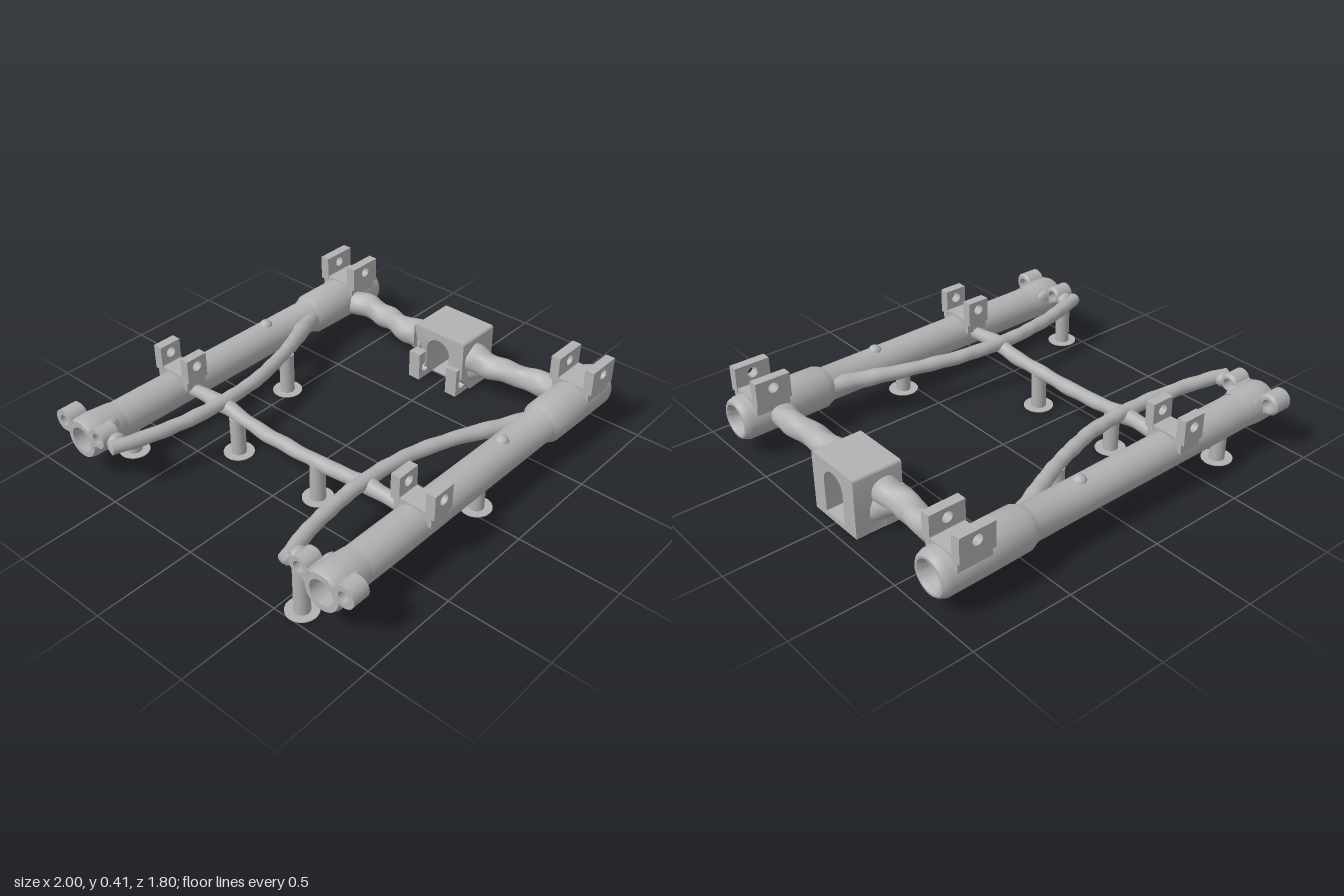
import * as THREE from 'three';
import { mergeVertices, toCreasedNormals } from 'three/addons/utils/BufferGeometryUtils.js';

const steel = new THREE.MeshStandardMaterial({ color: 0xb2b2b2 });
steel.name = 'light grey metal';

const RAIL_Z = 0.733;
const railY = (x) => 0.205 - 0.011 * x;
const lumps = (x, y, z) =>
  Math.sin(31 * x + 9 * z) * Math.sin(27 * z + 14 * y) + 0.6 * Math.sin(58 * x - 33 * z + 40 * y);

function add(group, name, geometry, x = 0, y = 0, z = 0) {
  const mesh = new THREE.Mesh(geometry, steel);
  mesh.name = name;
  mesh.position.set(x, y, z);
  group.add(mesh);
  return mesh;
}

// Closed profile of [radius, x] pairs turned about the x axis
function turned(profile, sides = 40) {
  const pts = [...profile, profile[0]].map(([r, x]) => new THREE.Vector2(r, x));
  return toCreasedNormals(new THREE.LatheGeometry(pts, sides).rotateZ(-Math.PI / 2), 0.6);
}

// Irregular capped tube; radius(t) sets the thickness along it
function organicTube(points, radius, rough, steps = 70, sides = 14) {
  const curve = new THREE.CatmullRomCurve3(points.map((p) => new THREE.Vector3(...p)));
  let g = new THREE.TubeGeometry(curve, steps, 1, sides, false);
  const pos = g.attributes.position, v = new THREE.Vector3();
  for (let i = 0; i <= steps; i++) {
    const t = i / steps, c = curve.getPointAt(t);
    const r = i === 0 || i === steps ? 0.0005 : radius(t);
    for (let j = 0; j <= sides; j++) {
      const k = i * (sides + 1) + j;
      v.fromBufferAttribute(pos, k).sub(c).multiplyScalar(r).add(c);
      const bump = 1 + rough * lumps(v.x, v.y, v.z);
      v.sub(c).multiplyScalar(bump).add(c);
      pos.setXYZ(k, v.x, v.y, v.z);
    }
  }
  g.deleteAttribute('uv');
  g.deleteAttribute('normal');
  g = mergeVertices(g, 1e-5);
  g.computeVertexNormals();
  return toCreasedNormals(g, 1.0);
}

// Flat plate with a round hole, centred on its thickness along z
function drilledPlate(w, y0, y1, holeX, holeY, holeR, thick) {
  const s = new THREE.Shape();
  s.moveTo(-w / 2, y0).lineTo(w / 2, y0).lineTo(w / 2, y1).lineTo(-w / 2, y1).closePath();
  s.holes.push(new THREE.Path().absarc(holeX, holeY, holeR, 0, Math.PI * 2, true));
  return new THREE.ExtrudeGeometry(s, { depth: thick, bevelEnabled: false, curveSegments: 20 })
    .translate(0, 0, -thick / 2);
}

// Pair of upright tabs on a saddle over a rail
function bracket(parent, name, x, w, s) {
  const g = new THREE.Group();
  g.name = name;
  g.position.set(x, 0, s * RAIL_Z);
  parent.add(g);
  for (const side of [-1, 1])
    add(g, 'bracketTab', drilledPlate(w, 0.285, 0.41, 0, 0.363, 0.026, 0.048), 0, 0, side * 0.092);
  add(g, 'saddle', new THREE.BoxGeometry(w * 0.97, 0.07, 0.2), 0, 0.272, 0);
  for (const side of [-1, 1]) {
    const lip = new THREE.CylinderGeometry(0.022, 0.022, w * 0.99, 14).rotateZ(Math.PI / 2);
    add(g, 'saddleLip', lip, 0, 0.302, side * 0.088);
  }
}

// Drilled lug beside the open end of a rail, with its web and blend
function lug(parent, name, y, z, s, r) {
  const g = new THREE.Group();
  g.name = name;
  parent.add(g);
  add(g, 'lugRing', turned([[r, -0.05], [r, 0.04], [r - 0.012, 0.05], [0.027, 0.05], [0.027, -0.05]], 28),
    -0.92, y, s * z);
  const dy = railY(-0.92) - y, dz = s * (RAIL_Z - z), d = Math.hypot(dy, dz);
  const at = (k) => [y + (dy * k) / d, s * z + (dz * k) / d];
  const web = add(g, 'lugWeb', new THREE.BoxGeometry(0.098, 0.028, 0.075), -0.92, ...at(0.046));
  web.geometry = new THREE.BoxGeometry(0.098, 0.075, 0.03);
  web.rotation.x = -Math.atan2(dy, dz);
  const blend = add(g, 'lugBlend', new THREE.SphereGeometry(1, 20, 14), -0.86, ...at(0.058));
  blend.scale.set(0.06, 0.045, 0.026);
}

function sideFrame(s) {
  const g = new THREE.Group();
  g.name = s > 0 ? 'frontSideFrame' : 'rearSideFrame';

  // Hollow rail with a thicker collar at one end
  const rail = add(g, 'rail', turned([
    [0.088, -0.97], [0.089, -0.6], [0.087, -0.2], [0.086, 0.2], [0.086, 0.5], [0.092, 0.515],
    [0.105, 0.545], [0.107, 0.75], [0.107, 0.965], [0.098, 0.99], [0.088, 1.0],
    [0.076, 1.0], [0.064, 0.98], [0.062, 0], [0.062, -0.97],
  ], 48), 0, 0.205, s * RAIL_Z);
  rail.rotation.z = -0.011;
  add(g, 'railKnob', new THREE.SphereGeometry(0.035, 18, 12), 0.21, 0.274, s * RAIL_Z);
  // Slight swelling towards the lugs
  const swell = turned([[0.088, -0.97], [0.098, -0.95], [0.099, -0.88], [0.088, -0.77], [0.07, -0.8], [0.07, -0.96]], 40);
  add(g, 'railSwell', swell, 0, railY(-0.9) + 0.004, s * RAIL_Z);

  lug(g, 'outerLug', 0.268, 0.848, s, 0.054);
  lug(g, 'innerLug', 0.278, 0.614, s, 0.048);

  bracket(g, 'smallBracket', -0.36, 0.118, s);
  bracket(g, 'largeBracket', 0.848, 0.18, s);

  // Bowed brace running beside the rail
  add(g, 'bowedBrace', organicTube([
    [-0.97, 0.262, s * 0.54], [-0.85, 0.258, s * 0.5], [-0.6, 0.25, s * 0.452], [-0.36, 0.247, s * 0.438],
    [-0.12, 0.243, s * 0.46], [0.1, 0.236, s * 0.52], [0.28, 0.225, s * 0.59], [0.42, 0.215, s * 0.655], [0.52, 0.21, s * 0.7],
  ], (t) => 0.034 + 0.014 * Math.max(0, t - 0.75) * 4, 0.05, 110), 0, 0, 0);
  add(g, 'braceJoint', new THREE.SphereGeometry(0.046, 18, 12), -0.96 + 0.05, 0.265, s * 0.555)
    .scale.set(1, 0.8, 0.7);

  // End beam half and its flare down to the housing
  add(g, 'endBeam', organicTube([
    [0.8, 0.195, s * 0.67], [0.812, 0.195, s * 0.56], [0.8, 0.19, s * 0.43], [0.785, 0.185, s * 0.3], [0.79, 0.18, s * 0.12],
  ], (t) => 0.064 - 0.012 * Math.sin(Math.PI * t) + 0.012 * t, 0.1, 50, 18), 0, 0, 0);
  add(g, 'beamFlare', organicTube([
    [0.795, 0.185, s * 0.29], [0.8, 0.15, s * 0.21], [0.815, 0.1, s * 0.12],
  ], (t) => 0.04 + 0.03 * t, 0.05, 24), 0, 0, 0);
  return g;
}

// Block with an arched passage along x and a sloped lower inner edge
function housingGeometry() {
  const w = 0.155, h = 0.3, c = 0.014, k = 0.09;
  const s = new THREE.Shape();
  s.moveTo(-w, 0).lineTo(w, 0).lineTo(w, k).lineTo(w, h - c)
    .absarc(w - c, h - c, c, 0, Math.PI / 2, false)
    .lineTo(-w + c, h).absarc(-w + c, h - c, c, Math.PI / 2, Math.PI, false)
    .lineTo(-w, k).closePath();
  const hole = new THREE.Path();
  hole.moveTo(-0.07, 0.028).lineTo(-0.07, k).lineTo(-0.07, 0.19)
    .absarc(0, 0.19, 0.07, Math.PI, 0, true).lineTo(0.07, k).lineTo(0.07, 0.028).closePath();
  s.holes.push(hole);
  const g = new THREE.ExtrudeGeometry(s, { depth: 0.25, bevelEnabled: false, curveSegments: 14 });
  g.rotateY(Math.PI / 2).translate(0.698, 0, 0);
  const p = g.attributes.position;
  for (let i = 0; i < p.count; i++)
    if (p.getX(i) < 0.75 && p.getY(i) < k) p.setX(i, p.getX(i) + 0.08 * (1 - p.getY(i) / k));
  g.computeVertexNormals();
  return toCreasedNormals(g, 0.5);
}

export function createModel() {
  const model = new THREE.Group();
  model.name = 'tubularFrame';
  model.add(sideFrame(1), sideFrame(-1));

  // Slim cross bar between the rails
  add(model, 'crossBar', organicTube([
    [-0.365, 0.215, -0.68], [-0.365, 0.225, -0.45], [-0.37, 0.2, -0.2], [-0.368, 0.198, 0.1],
    [-0.362, 0.21, 0.35], [-0.365, 0.225, 0.45], [-0.365, 0.215, 0.68],
  ], (t) => 0.034 + 0.008 * Math.exp(-(((Math.abs(t - 0.5) - 0.33) / 0.04) ** 2)), 0.07, 100));

  // Central housing with drilled ears underneath
  add(model, 'housing', housingGeometry());
  for (const z of [-0.125, 0.11])
    add(model, 'housingEar', drilledPlate(0.13, 0, 0.15, -0.015, 0.06, 0.027, 0.066), 0.735, 0, z);

  // Round support posts on thin foot discs
  const posts = [[-0.93, 0.59, 0.25], [-0.69, -RAIL_Z, 0.14], [-0.37, -0.35, 0.2],
    [-0.37, 0.16, 0.2], [0.05, RAIL_Z, 0.13], [0.155, -0.537, 0.22]];
  for (const [x, z, h] of posts) {
    const post = new THREE.Group();
    post.name = 'supportPost';
    post.position.set(x, 0, z);
    model.add(post);
    add(post, 'post', new THREE.CylinderGeometry(0.037, 0.037, h, 28), 0, h / 2, 0);
    add(post, 'footDisc', new THREE.CylinderGeometry(0.074, 0.074, 0.004, 36), 0, 0.002, 0);
  }
  return model;
}
